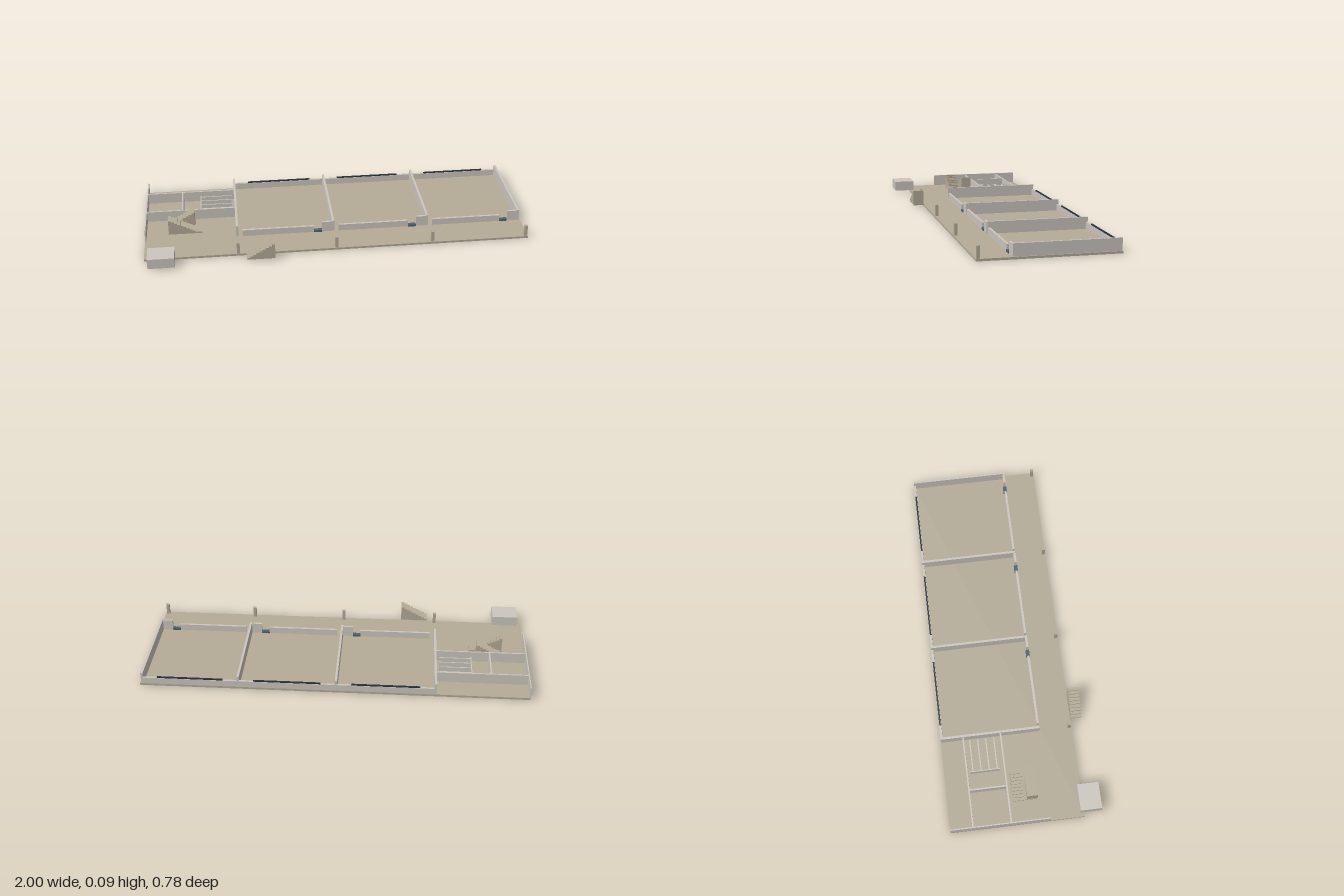
import * as THREE from 'three';

export function createModel() {
  const model = new THREE.Group();
  const mat = (name, color) => {
    const m = new THREE.MeshStandardMaterial({ color });
    m.name = name;
    return m;
  };
  const tan = mat('tan concrete', 0xb4ab97);
  const grey = mat('pale plaster', 0xcbc6be);
  const glass = mat('dark glass', 0x28343a);
  const blue = mat('slate blue', 0x4c6470);

  // Box given by its lower and upper limits on each axis
  const box = (name, m, x0, x1, y0, y1, z0, z1, parent = model) => {
    const mesh = new THREE.Mesh(new THREE.BoxGeometry(x1 - x0, y1 - y0, z1 - z0), m);
    mesh.position.set((x0 + x1) / 2, (y0 + y1) / 2, (z0 + z1) / 2);
    mesh.name = name;
    parent.add(mesh);
    return mesh;
  };

  const floor = 0.011, full = 0.072, low = 0.046;
  box('floorSlab', tan, -1, 1, 0, floor, -0.39, 0.3);

  // Full-height cross walls, with a veranda post in line with each
  const axes = [-0.52, -0.013, 0.49, 0.987];
  axes.forEach((x) => {
    box('crossWall', grey, x - 0.006, x + 0.006, floor, full, -0.388, 0.13);
    box('verandaPost', tan, x - 0.008, x + 0.008, floor, 0.07, 0.28, 0.296);
  });
  box('endWall', grey, -1, -0.994, floor, full, -0.39, 0.125);

  // Three rooms: low front and back walls, window strip, doorway and door-side pier
  for (let i = 0; i < 3; i++) {
    const a = axes[i] + 0.006, b = axes[i + 1] - 0.006;
    box('backWall', grey, a, b, floor, low, -0.39, -0.378);
    box('windowStrip', glass, a + 0.073, b - 0.072, low, 0.052, -0.388, -0.38);
    box('frontLowWall', grey, a + 0.022, b - 0.096, floor, low, 0.119, 0.131);
    box('doorThreshold', blue, b - 0.096, b - 0.054, floor, 0.022, 0.115, 0.135);
    box('doorPier', grey, b - 0.054, b, floor, 0.068, 0.119, 0.131);
  }

  // Service bay walls
  box('serviceBackWall', grey, -0.994, -0.526, floor, 0.068, -0.276, -0.268);
  box('serviceFrontWall', grey, -0.994, -0.526, floor, 0.068, -0.081, -0.073);
  box('serviceDivider', grey, -0.809, -0.801, floor, 0.068, -0.268, -0.081);

  // Comb of cubicle partitions
  const cubicles = new THREE.Group();
  cubicles.name = 'cubicles';
  model.add(cubicles);
  box('cubicleFront', grey, -0.71, -0.705, floor, 0.05, -0.255, -0.1, cubicles);
  for (const z of [-0.24, -0.198, -0.156, -0.114]) {
    box('cubiclePartition', grey, -0.705, -0.54, floor, 0.05, z - 0.003, z + 0.003, cubicles);
  }

  // Stepped flight rising toward +x; solid below, or with a sloping underside
  const flight = (name, length, y0, y1, width, solid) => {
    const n = 9, run = length / n, rise = (y1 - y0) / n;
    const s = new THREE.Shape();
    s.moveTo(0, y0);
    for (let i = 0; i < n; i++) {
      s.lineTo(i * run, y0 + (i + 1) * rise);
      s.lineTo((i + 1) * run, y0 + (i + 1) * rise);
    }
    if (solid) s.lineTo(length, y0);
    else {
      s.lineTo(length, y1 - 2.2 * rise);
      s.lineTo(run * 1.2, y0);
    }
    const mesh = new THREE.Mesh(
      new THREE.ExtrudeGeometry(s, { depth: width, bevelEnabled: false }), tan);
    mesh.name = name;
    model.add(mesh);
    return mesh;
  };

  // Outer stair beside the veranda
  flight('outerStair', 0.143, floor, 0.092, 0.057, true).position.set(-0.478, 0, 0.304);

  // Double-flight stair with a low landing
  flight('rearFlight', 0.14, floor, 0.092, 0.057, true).position.set(-0.88, 0, -0.055);
  const front = flight('frontFlight', 0.14, 0.02, 0.092, 0.055, true);
  front.rotation.y = Math.PI;
  front.position.set(-0.738, 0, 0.073);
  box('stairLanding', tan, -0.88, -0.702, floor, 0.02, 0.012, 0.073);

  // Free-standing block at the corner
  box('cornerBlock', grey, -0.978, -0.842, floor, 0.065, 0.28, 0.39);

  return model;
}
